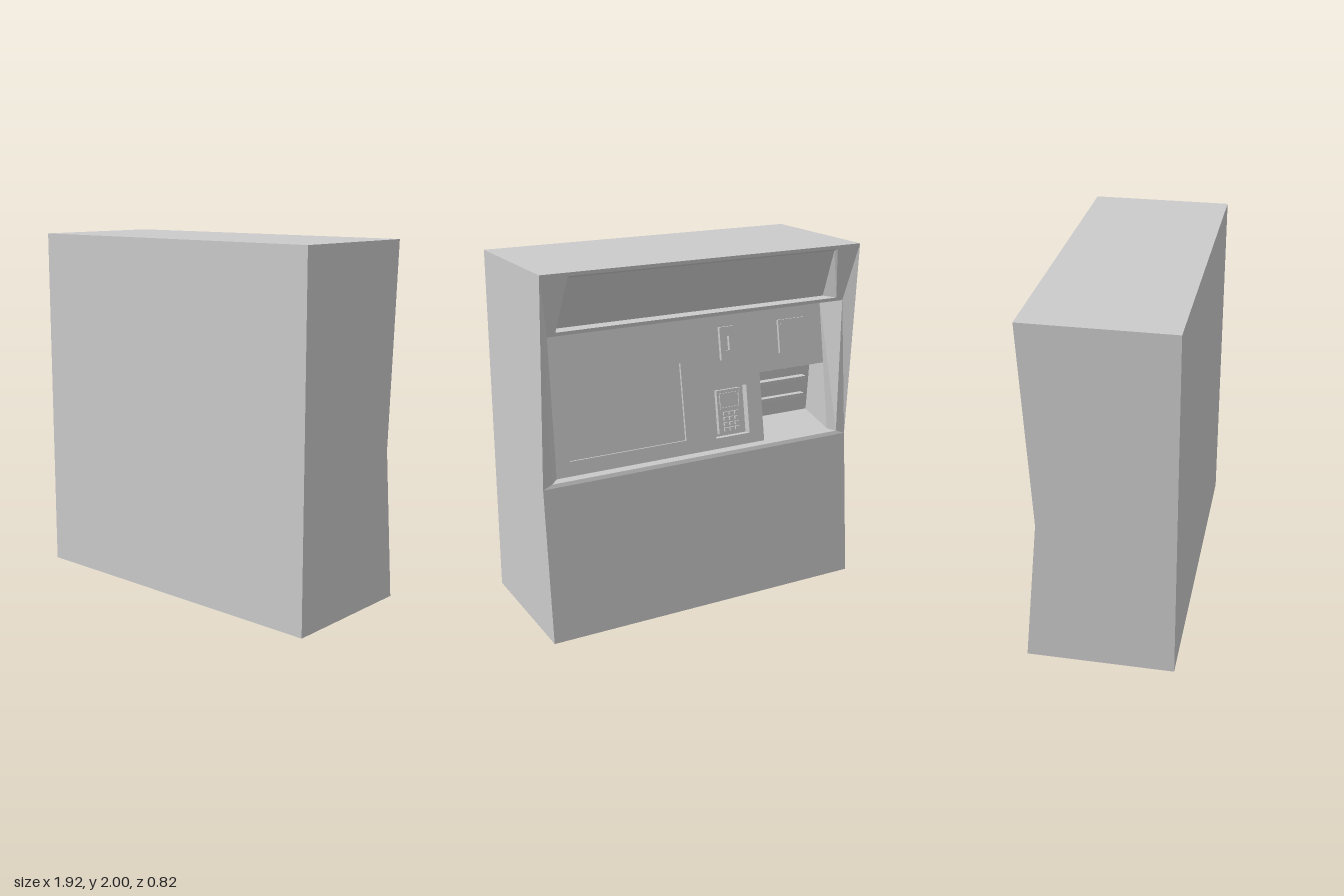
import * as THREE from 'three';

const grey = new THREE.MeshStandardMaterial({ color: 0xcccccc, flatShading: true, side: THREE.DoubleSide });

function add(parent, name, geometry, x = 0, y = 0, z = 0) {
  const mesh = new THREE.Mesh(geometry, grey);
  mesh.name = name;
  mesh.position.set(x, y, z);
  parent.add(mesh);
  return mesh;
}

// Flat-sided geometry from four-cornered polygons
function polygons(quads) {
  const pos = [];
  for (const [a, b, c, d] of quads) pos.push(...a, ...b, ...c, ...a, ...c, ...d);
  const g = new THREE.BufferGeometry();
  g.setAttribute('position', new THREE.Float32BufferAttribute(pos, 3));
  g.computeVertexNormals();
  return g;
}

// Quads joining successive four-cornered rings; one side may be left open
function loft(rings, cap = false, skip = -1) {
  const quads = [];
  for (let r = 0; r + 1 < rings.length; r++) {
    for (let i = 0; i < 4; i++) {
      const j = (i + 1) % 4;
      if (i !== skip) quads.push([rings[r][i], rings[r][j], rings[r + 1][j], rings[r + 1][i]]);
    }
  }
  if (cap) quads.push(rings[rings.length - 1]);
  return quads;
}

// Upright ring, symmetric in x, with its own width and depth at top and bottom
const ring = (xt, yt, zt, xb, yb, zb) => [[xt, yt, zt], [xb, yb, zb], [-xb, yb, zb], [-xt, yt, zt]];
// Horizontal section of the cabinet
const section = (y, zBack) => [[-0.96, y, 0.41], [0.96, y, 0.41], [0.96, y, zBack], [-0.96, y, zBack]];

function rectangle(u0, u1, v0, v1, Type = THREE.Path) {
  const p = new Type();
  p.moveTo(u0, v0).lineTo(u1, v0).lineTo(u1, v1).lineTo(u0, v1).closePath();
  return p;
}

// Sunken rectangle with walls and a floor, in panel coordinates
function pocket(u0, u1, v0, v1, depth) {
  const at = (z) => [[u0, v1, z], [u0, v0, z], [u1, v0, z], [u1, v1, z]];
  return polygons(loft([at(0), at(-depth)], true));
}

// Raised plate, optionally with an opening
function plate(w, h, depth, hole) {
  const s = rectangle(-w / 2, w / 2, -h / 2, h / 2, THREE.Shape);
  if (hole) s.holes.push(hole);
  return new THREE.ExtrudeGeometry(s, { depth, bevelEnabled: false });
}

export function createModel() {
  const model = new THREE.Group();
  model.name = 'serviceTerminal';

  // Cabinet, with the upper back left open for the recess
  const [low, mid, top] = [section(0, -0.41), section(0.86, -0.33), section(2, -0.39)];
  add(model, 'cabinet', polygons([
    ...loft([low, mid]), ...loft([mid, top], true, 2), [...low].reverse(),
  ]));

  // Splayed cheeks and sill, then the recess walls running in to the panel
  const outer = ring(0.96, 2, -0.39, 0.96, 0.86, -0.33);
  const inner = ring(0.905, 1.67, -0.324, 0.905, 0.88, -0.322);
  const deep = ring(0.865, 1.67, -0.152, 0.865, 0.89, -0.287);
  add(model, 'cheeksAndSill', polygons(loft([outer, inner], false, 3)));
  add(model, 'recessWalls', polygons(loft([inner, deep])));

  // Sloping header with a wedge-shaped sign inset
  add(model, 'header', polygons(loft([
    ring(0.96, 2, -0.39, 0.905, 1.67, -0.324),
    ring(0.81, 1.98, -0.386, 0.86, 1.69, -0.328),
    ring(0.8, 1.97, -0.37, 0.835, 1.685, -0.23),
  ], true)));

  // Tilted operating panel; its local +z faces the user
  const panel = new THREE.Group();
  panel.name = 'operatingPanel';
  panel.position.set(0, 0.89, -0.287);
  panel.rotation.set(-Math.atan(0.173), Math.PI, 0, 'YXZ');
  model.add(panel);

  const face = new THREE.Shape();
  face.moveTo(-0.865, 0).lineTo(0.424, 0).lineTo(0.424, 0.396).lineTo(0.865, 0.396)
    .lineTo(0.865, 0.792).lineTo(-0.865, 0.792).closePath();
  const screen = [-0.78, -0.08, 0.08, 0.513];
  const padBay = [0.11, 0.33, 0.06, 0.34];
  face.holes.push(rectangle(...screen), rectangle(...padBay));
  add(panel, 'panelFace', new THREE.ShapeGeometry(face));
  add(panel, 'screen', pocket(...screen, 0.015));
  add(panel, 'keypadBay', pocket(...padBay, 0.045));

  // Keypad with display and keys
  add(panel, 'keypadBody', new THREE.BoxGeometry(0.16, 0.25, 0.025), 0.225, 0.2, -0.033);
  add(panel, 'keypadDisplay', plate(0.13, 0.09, 0.008, rectangle(-0.057, 0.057, -0.037, 0.037)), 0.225, 0.262, -0.021);
  for (let row = 0; row < 4; row++) {
    for (let col = 0; col < 3; col++) {
      add(panel, 'key', new THREE.BoxGeometry(0.026, 0.02, 0.014),
        0.225 + (col - 1) * 0.036, 0.1 + row * 0.03, -0.015);
    }
  }

  // Card reader with its slot, and the reader plate beside it
  add(panel, 'cardReader', plate(0.09, 0.185, 0.02, rectangle(-0.012, 0.012, -0.04, 0.04)), 0.216, 0.59, 0);
  add(panel, 'contactlessReader', plate(0.18, 0.19, 0.016), 0.651, 0.585, 0);
  const lamp = add(panel, 'readerLamp', new THREE.CylinderGeometry(0.007, 0.007, 0.006, 12), 0.58, 0.655, 0.018);
  lamp.rotation.x = Math.PI / 2;

  // Delivery tray cut into the panel corner, with a floor rising inwards
  const tray = (yt, zt, yb, zb) =>
    [[-0.424, yt, zt], [-0.424, yb, zb], [-0.865, yb, zb], [-0.865, yt, zt]];
  add(model, 'deliveryTray', polygons(loft([
    tray(1.28, -0.219, 0.89, -0.287), tray(1.28, -0.085, 0.95, -0.06),
  ], true)));

  // Ledges of the delivery slots
  for (const [y, depth] of [[1.17, 0.05], [1.06, 0.035]]) {
    add(model, 'slotLedge', new THREE.BoxGeometry(0.34, 0.02, depth), -0.645, y, -0.07 - depth / 2);
  }
  return model;
}
